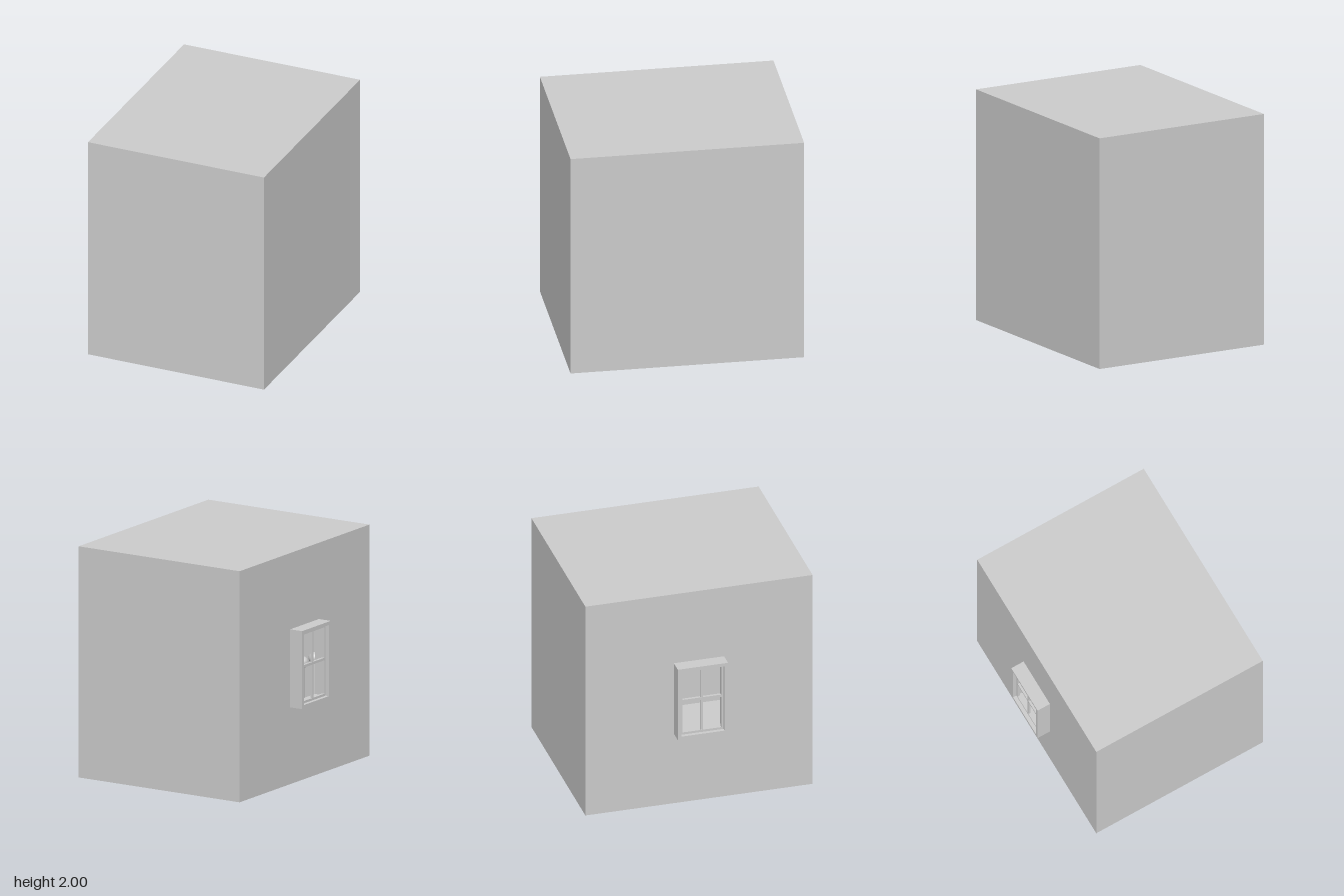
import * as THREE from 'three';

const material = new THREE.MeshStandardMaterial({ color: 0xcccccc });

function add(parent, name, geometry, x, y, z) {
  const mesh = new THREE.Mesh(geometry, material);
  mesh.name = name;
  mesh.position.set(x, y, z);
  parent.add(mesh);
  return mesh;
}

function box(parent, name, w, h, d, x, y, z) {
  return add(parent, name, new THREE.BoxGeometry(w, h, d), x, y, z);
}

// Rectangle [z0, y0, z1, y1] in the side plane
function rectangle(Type, [z0, y0, z1, y1]) {
  return new Type([[z0, y0], [z1, y0], [z1, y1], [z0, y1]].map(([z, y]) => new THREE.Vector2(z, y)));
}

// Panel with a rectangular opening, reaching from x = inner towards -x
function openPanel(parent, name, outline, opening, depth, inner) {
  const shape = rectangle(THREE.Shape, outline);
  shape.holes.push(rectangle(THREE.Path, opening));
  const geometry = new THREE.ExtrudeGeometry(shape, { depth, bevelEnabled: false });
  geometry.rotateY(-Math.PI / 2);
  return add(parent, name, geometry, inner, 0, 0);
}

export function createModel() {
  const model = new THREE.Group();
  model.name = 'roomWithWindow';

  const xMin = -0.75, xMax = 0.87, zHalf = 0.995, height = 2, t = 0.02;
  const width = xMax - xMin, xMid = (xMin + xMax) / 2;

  // Closed room shell
  const room = new THREE.Group();
  room.name = 'room';
  model.add(room);
  box(room, 'floor', width, t, 2 * zHalf, xMid, t / 2, 0);
  box(room, 'ceiling', width, t, 2 * zHalf, xMid, height - t / 2, 0);
  for (const [name, side] of [['frontWall', 1], ['backWall', -1]]) {
    box(room, name, width - 2 * t, height - 2 * t, t, xMid, height / 2, side * (zHalf - t / 2));
  }
  box(room, 'leftWall', t, height - 2 * t, 2 * zHalf, xMax - t / 2, height / 2, 0);

  // Window wall and projecting frame
  const outer = [-0.22, 0.665, 0.22, 1.34];
  const rim = 0.03;
  const opening = [outer[0] + rim, outer[1] + rim, outer[2] - rim, outer[3] - rim];
  openPanel(room, 'windowWall', [-zHalf, t, zHalf, height - t], opening, t, xMin + t);

  const windowGroup = new THREE.Group();
  windowGroup.name = 'window';
  model.add(windowGroup);
  openPanel(windowGroup, 'windowFrame', outer, opening, 0.12, xMin);

  // Recessed sash with two crossing bars
  const sashX = -0.825, sashRim = 0.02;
  const pane = [opening[0] + sashRim, opening[1] + sashRim, opening[2] - sashRim, opening[3] - sashRim];
  openPanel(windowGroup, 'sash', opening, pane, 0.025, sashX + 0.0125);
  const paneMidY = (pane[1] + pane[3]) / 2;
  box(windowGroup, 'verticalBar', 0.02, pane[3] - pane[1], 0.022, sashX, paneMidY, 0);
  box(windowGroup, 'horizontalBar', 0.024, 0.022, pane[2] - pane[0], sashX, 1.015, 0);

  // Pair of globe lamps on posts inside the room
  for (const z of [0.55, 0.73]) {
    const lamp = new THREE.Group();
    lamp.name = 'globeLamp';
    lamp.position.set(-0.37, t, z);
    model.add(lamp);
    add(lamp, 'lampBase', new THREE.CylinderGeometry(0.06, 0.06, 0.02, 24), 0, 0.01, 0);
    add(lamp, 'lampPost', new THREE.CylinderGeometry(0.014, 0.014, 0.78, 16), 0, 0.4, 0);
    add(lamp, 'lampGlobe', new THREE.SphereGeometry(0.05, 24, 16), 0, 0.83, 0);
  }

  return model;
}
